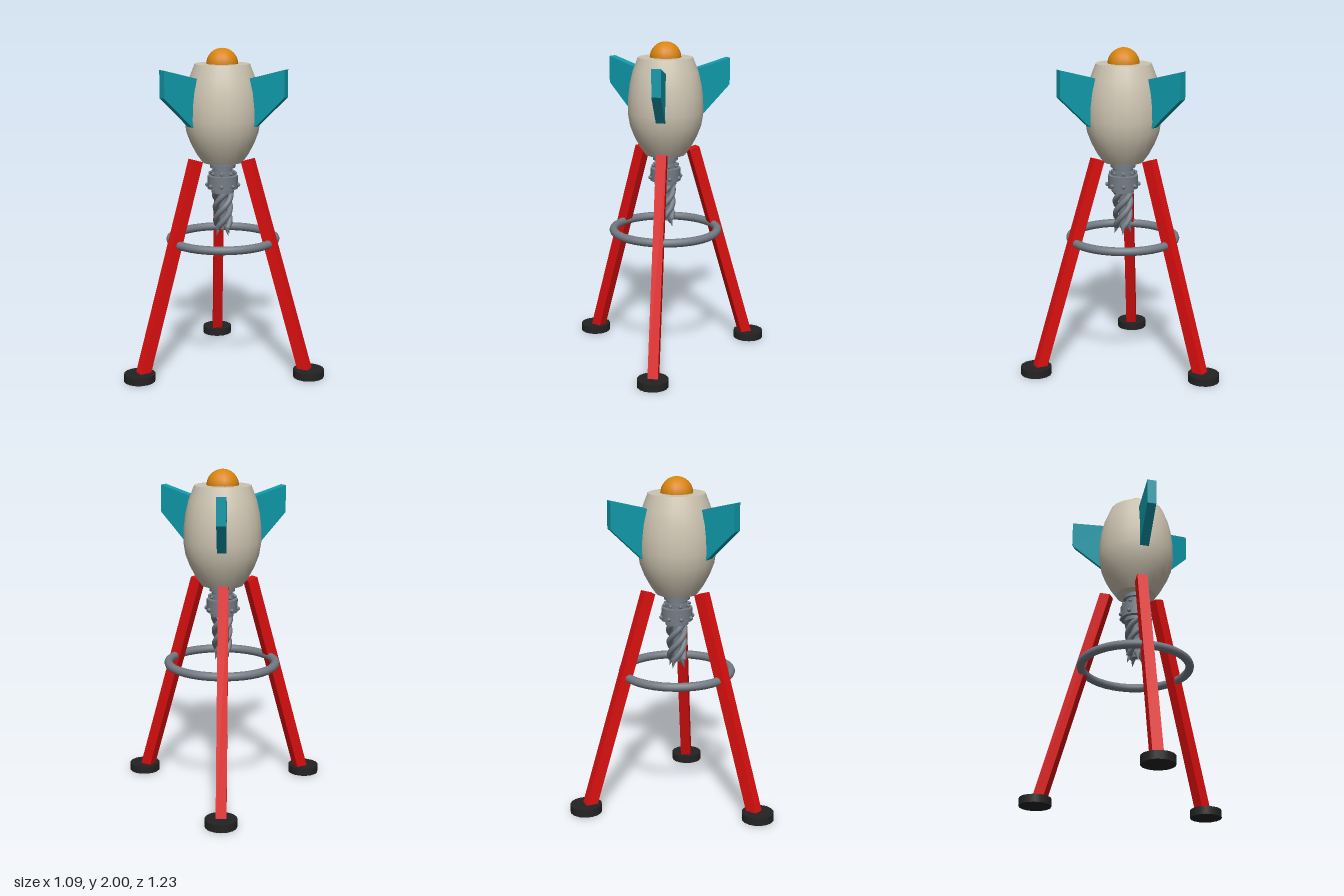
import * as THREE from 'three';

const mat = (name, color, extra = {}) => {
  const m = new THREE.MeshStandardMaterial({ color, ...extra });
  m.name = name;
  return m;
};

export function createModel() {
  const red = mat('red paint', 0xdc0f0f);
  const teal = mat('teal paint', 0x0f9aaa);
  const cream = mat('cream shell', 0xcdc4b1, { side: THREE.DoubleSide });
  const orange = mat('orange dome', 0xd9850f);
  const steel = mat('grey steel', 0x757c85);
  const rubber = mat('black rubber', 0x232323);

  const model = new THREE.Group();
  const rig = new THREE.Group(); // everything is centred on this vertical axis
  rig.name = 'rig';
  rig.position.x = -0.137;
  model.add(rig);

  const add = (parent, name, geo, material, x = 0, y = 0, z = 0) => {
    const m = new THREE.Mesh(geo, material);
    m.name = name;
    m.position.set(x, y, z);
    parent.add(m);
    return m;
  };
  const lathe = (pts, n) => new THREE.LatheGeometry(pts.map(p => new THREE.Vector2(...p)), n);

  // Egg-shaped body with a flat top, and its dome
  const shell = [[0.125, 1.305], [0.16, 1.355], [0.195, 1.42], [0.222, 1.49], [0.235, 1.57],
    [0.232, 1.66], [0.222, 1.74], [0.203, 1.82], [0.17, 1.905]];
  add(rig, 'body', lathe(shell, 20), cream);
  add(rig, 'bodyTop', new THREE.CylinderGeometry(0.17, 0.168, 0.006, 20), cream, 0, 1.902);
  add(rig, 'bodyBase', new THREE.CylinderGeometry(0.127, 0.123, 0.006, 20), cream, 0, 1.306);
  add(rig, 'dome', new THREE.SphereGeometry(0.097, 14, 8, 0, Math.PI * 2, 0, Math.PI / 2), orange, 0, 1.903);

  // Fins, legs and feet repeat three times around the axis
  const finShape = new THREE.Shape([[0.15, 1.81], [0.195, 1.825], [0.423, 1.885], [0.423, 1.72],
    [0.232, 1.535], [0.18, 1.55]].reverse().map(p => new THREE.Vector2(...p)));
  const finGeo = new THREE.ExtrudeGeometry(finShape, { depth: 0.056, bevelEnabled: false });
  finGeo.translate(0, 0, -0.028);
  const top = new THREE.Vector3(0.183, 1.328, 0);
  const bottom = new THREE.Vector3(0.578, 0.03, 0);
  const legGeo = new THREE.BoxGeometry(0.068, top.distanceTo(bottom), 0.063);
  for (let i = 0; i < 3; i++) {
    const arm = new THREE.Group();
    arm.name = 'arm' + (i + 1);
    arm.rotation.y = i * Math.PI * 2 / 3;
    rig.add(arm);
    add(arm, 'fin', finGeo, teal);
    const stand = new THREE.Group();
    stand.name = 'stand' + (i + 1);
    stand.position.x = -0.011;
    stand.rotation.y = arm.rotation.y;
    rig.add(stand);
    const leg = add(stand, 'leg', legGeo, red);
    leg.position.copy(top).add(bottom).multiplyScalar(0.5);
    leg.rotation.z = Math.atan2(bottom.x - top.x, top.y - bottom.y);
    add(stand, 'foot', new THREE.CylinderGeometry(0.096, 0.096, 0.048, 16), rubber, 0.6, 0.026);
  }

  // Handrail ring
  const ring = add(rig, 'ring', new THREE.TorusGeometry(0.328, 0.026, 10, 40), steel, 0, 0.82);
  ring.rotation.x = Math.PI / 2;

  // Stacked collars above the drill
  const collars = [[0.062, 1.255, 0.12], [0.078, 1.28, 0.022], [0.075, 1.235, 0.025],
    [0.094, 1.178, 0.08], [0.07, 1.128, 0.03]];
  for (const [r, y, h] of collars)
    add(rig, 'collar', new THREE.CylinderGeometry(r, r, h, 18), steel, 0, y);

  // Rings of bolts around the collars
  for (const [r, y, n, s] of [[0.097, 1.16, 8, 0.013], [0.078, 1.235, 8, 0.011]])
    for (let i = 0; i < n; i++) {
      const a = (i + 0.5) * Math.PI * 2 / n;
      add(rig, 'bolt', new THREE.SphereGeometry(s, 8, 6), steel, Math.cos(a) * r, y, Math.sin(a) * r);
    }

  // Twisted drill strands around a core, each ending in a claw
  add(rig, 'drillCore', new THREE.CylinderGeometry(0.03, 0.022, 0.24, 10), steel, 0, 1.0);
  const strands = 4;
  for (let i = 0; i < strands; i++) {
    const a0 = i * Math.PI * 2 / strands + 0.4;
    const pts = [];
    for (let k = 0; k <= 12; k++) {
      const t = k / 12, a = a0 + t * Math.PI * 1.5, r = 0.05 - 0.008 * t;
      pts.push(new THREE.Vector3(Math.cos(a) * r, 1.13 - 0.24 * t, Math.sin(a) * r));
    }
    add(rig, 'drillStrand', new THREE.TubeGeometry(new THREE.CatmullRomCurve3(pts), 28, 0.018, 8), steel);
    const end = pts[12];
    const claw = add(rig, 'claw', new THREE.ConeGeometry(0.019, 0.065, 8), steel, end.x, 0.872, end.z);
    claw.quaternion.setFromUnitVectors(new THREE.Vector3(0, 1, 0),
      new THREE.Vector3(end.x * 8, -1, end.z * 8).normalize());
  }
  return model;
}
